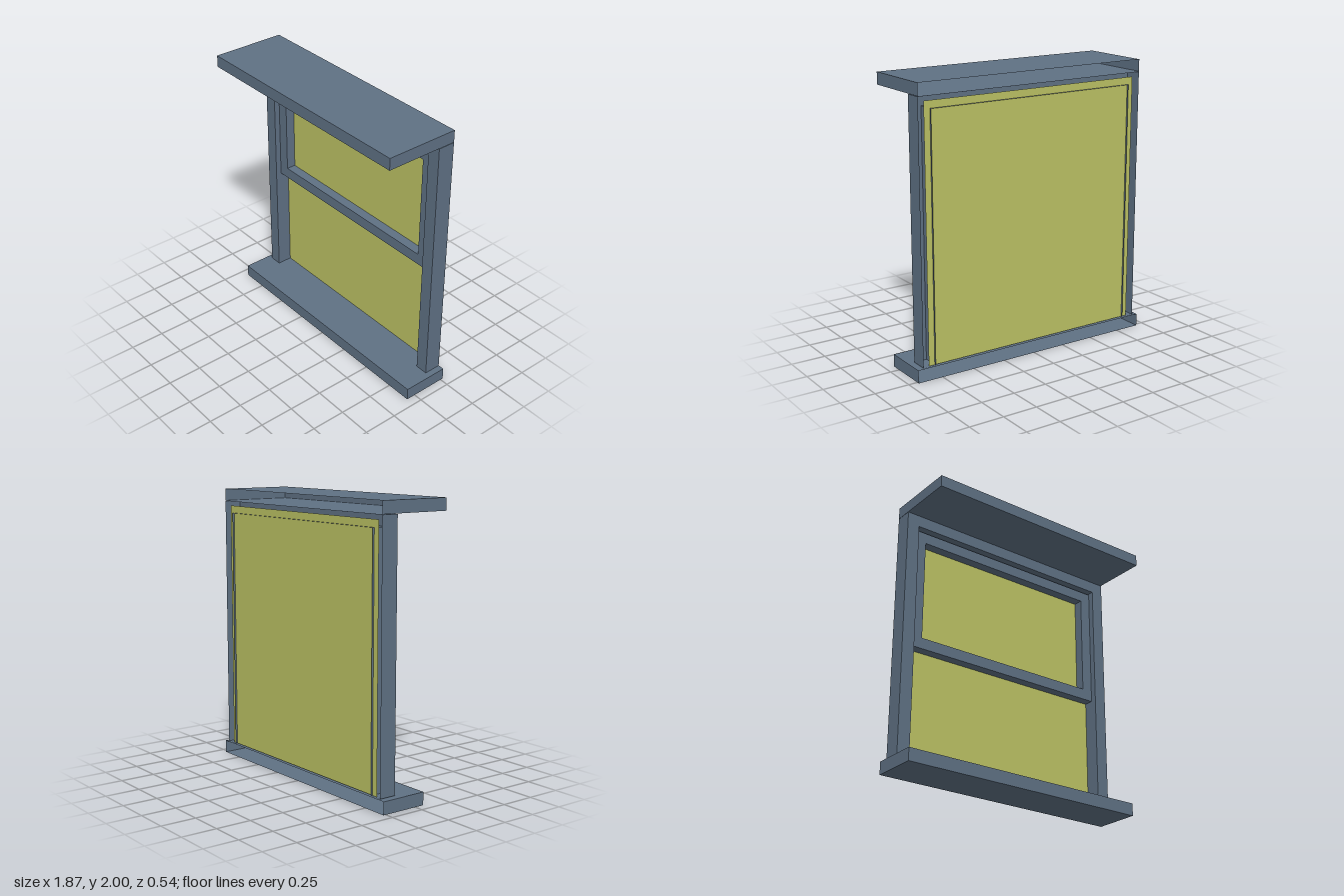
import * as THREE from 'three';

const paint = new THREE.MeshStandardMaterial({ color: 0x5f7184, side: THREE.DoubleSide });
const glass = new THREE.MeshStandardMaterial({ color: 0xbcc264, side: THREE.DoubleSide });

// Extrudes an outline from zBack to zFront and leaves the back open.
function openBack(name, points, zBack, zFront, holePoints) {
  const toVectors = (list) => list.map(([x, y]) => new THREE.Vector2(x, y));
  const shape = new THREE.Shape(toVectors(points));
  if (holePoints) shape.holes.push(new THREE.Path(toVectors(holePoints)));
  const solid = new THREE.ExtrudeGeometry(shape, { depth: zFront - zBack, bevelEnabled: false }).toNonIndexed();
  const src = solid.attributes.position;
  const kept = [];
  for (let i = 0; i < src.count; i += 3) {
    const corners = [i, i + 1, i + 2];
    if (corners.every((k) => src.getZ(k) < 1e-6)) continue;
    for (const k of corners) kept.push(src.getX(k), src.getY(k), src.getZ(k) + zBack);
  }
  const geometry = new THREE.BufferGeometry();
  geometry.setAttribute('position', new THREE.Float32BufferAttribute(kept, 3));
  geometry.computeVertexNormals();
  const mesh = new THREE.Mesh(geometry, paint);
  mesh.name = name;
  return mesh;
}

// Rectangle outline, symmetric about x = 0
const rect = (halfWidth, y0, y1) => [[-halfWidth, y0], [halfWidth, y0], [halfWidth, y1], [-halfWidth, y1]];

export function createModel() {
  const group = new THREE.Group();
  group.name = 'window';

  // Wide sill and projecting top ledge
  group.add(openBack('sill', rect(0.935, 0, 0.09), -0.27, 0.07));
  group.add(openBack('topLedge', rect(0.893, 1.915, 2), -0.265, 0.27));

  // Two posts joined by a header
  const frame = [
    [-0.893, 0.095], [-0.8, 0.095], [-0.8, 1.828], [0.8, 1.828],
    [0.8, 0.095], [0.893, 0.095], [0.893, 1.912], [-0.893, 1.912],
  ];
  group.add(openBack('frame', frame, -0.265, -0.14));

  // Upper sash, set back inside the frame
  group.add(openBack('upperSash', rect(0.797, 0.92, 1.818), -0.25, -0.18, rect(0.715, 1, 1.74)));

  // Single pane behind the sash
  const pane = new THREE.Mesh(new THREE.PlaneGeometry(1.69, 1.785), glass);
  pane.name = 'pane';
  pane.position.set(0, 0.9875, -0.251);
  group.add(pane);

  return group;
}
